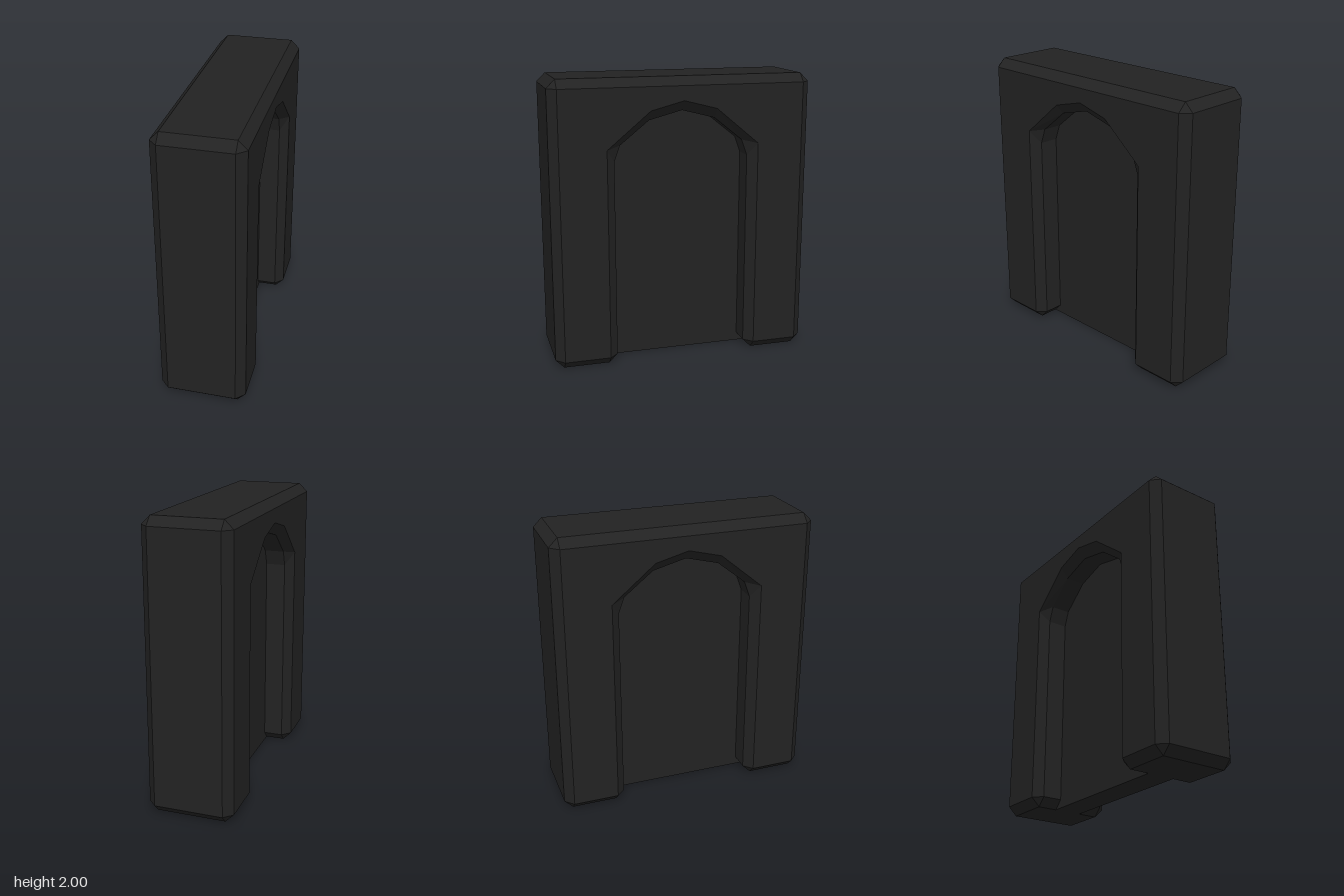
import * as THREE from 'three';

const HALF = 0.3, BEVEL = 0.06, PANEL = 0.1;

// Half outline of the arch as [faceZ, faceY, midZ, midY]: the face is the side
// surface, mid is the bevelled edge ring; repeated face points make cut corners.
const half = [
  [0, 1.84, 0, 1.77],
  [0.23, 1.78, 0.23, 1.71],
  [0.53, 1.53, 0.43, 1.55],
  [0.53, 1.53, 0.47, 1.44],
  [0.53, 0.06, 0.47, 0.06],
  [0.53, 0.06, 0.53, 0],
  [0.85, 0.06, 0.85, 0],
  [0.85, 0.06, 0.91, 0.06],
  [0.85, 1.94, 0.91, 1.94],
  [0.85, 1.94, 0.85, 2],
];

function archGeometry() {
  const mirrored = half.slice(1).reverse().map(([a, b, c, d]) => [-a, b, -c, d]);
  const loop = [...half, ...mirrored];
  const pos = [];
  const tri = (a, b, c) => {
    const area = b.clone().sub(a).cross(c.clone().sub(a)).length();
    if (area > 1e-6) for (const p of [a, b, c]) pos.push(p.x, p.y, p.z);
  };

  // Four rings across the thickness: face, edge, edge, face
  const m = HALF - BEVEL;
  const rings = [
    loop.map(([z, y]) => new THREE.Vector3(-HALF, y, z)),
    loop.map(([, , z, y]) => new THREE.Vector3(-m, y, z)),
    loop.map(([, , z, y]) => new THREE.Vector3(m, y, z)),
    loop.map(([z, y]) => new THREE.Vector3(HALF, y, z)),
  ];
  for (let r = 0; r < 3; r++) {
    for (let i = 0; i < loop.length; i++) {
      const j = (i + 1) % loop.length;
      const [a, b, c, d] = [rings[r][i], rings[r + 1][i], rings[r + 1][j], rings[r][j]];
      tri(a, b, c);
      tri(a, c, d);
    }
  }

  // Flat side faces
  const flat = loop.map(([z, y]) => new THREE.Vector2(z, y))
    .filter((p, i, all) => i === 0 || !p.equals(all[i - 1]));
  for (const [a, b, c] of THREE.ShapeUtils.triangulateShape(flat, [])) {
    const at = (i, x) => new THREE.Vector3(x, flat[i].y, flat[i].x);
    tri(at(a, -HALF), at(b, -HALF), at(c, -HALF));
    tri(at(a, HALF), at(c, HALF), at(b, HALF));
  }

  const geo = new THREE.BufferGeometry();
  geo.setAttribute('position', new THREE.Float32BufferAttribute(pos, 3));
  geo.computeVertexNormals();
  return geo;
}

// Thin slab filling the opening, its rim buried in the frame
function panelGeometry() {
  const shape = new THREE.Shape([
    [-0.53, 0], [0.53, 0], [0.53, 1.5], [0.23, 1.77], [0, 1.83], [-0.23, 1.77], [-0.53, 1.5],
  ].map(([z, y]) => new THREE.Vector2(z, y)));
  return new THREE.ExtrudeGeometry(shape, { depth: PANEL * 2, bevelEnabled: false })
    .translate(0, 0, -PANEL)
    .rotateY(Math.PI / 2);
}

export function createModel() {
  const model = new THREE.Group();
  model.name = 'archedBlock';
  const material = new THREE.MeshStandardMaterial({ color: 0x222222, flatShading: true });

  const frame = new THREE.Mesh(archGeometry(), material);
  frame.name = 'archFrame';
  const panel = new THREE.Mesh(panelGeometry(), material);
  panel.name = 'recessedPanel';

  model.add(frame, panel);
  return model;
}
